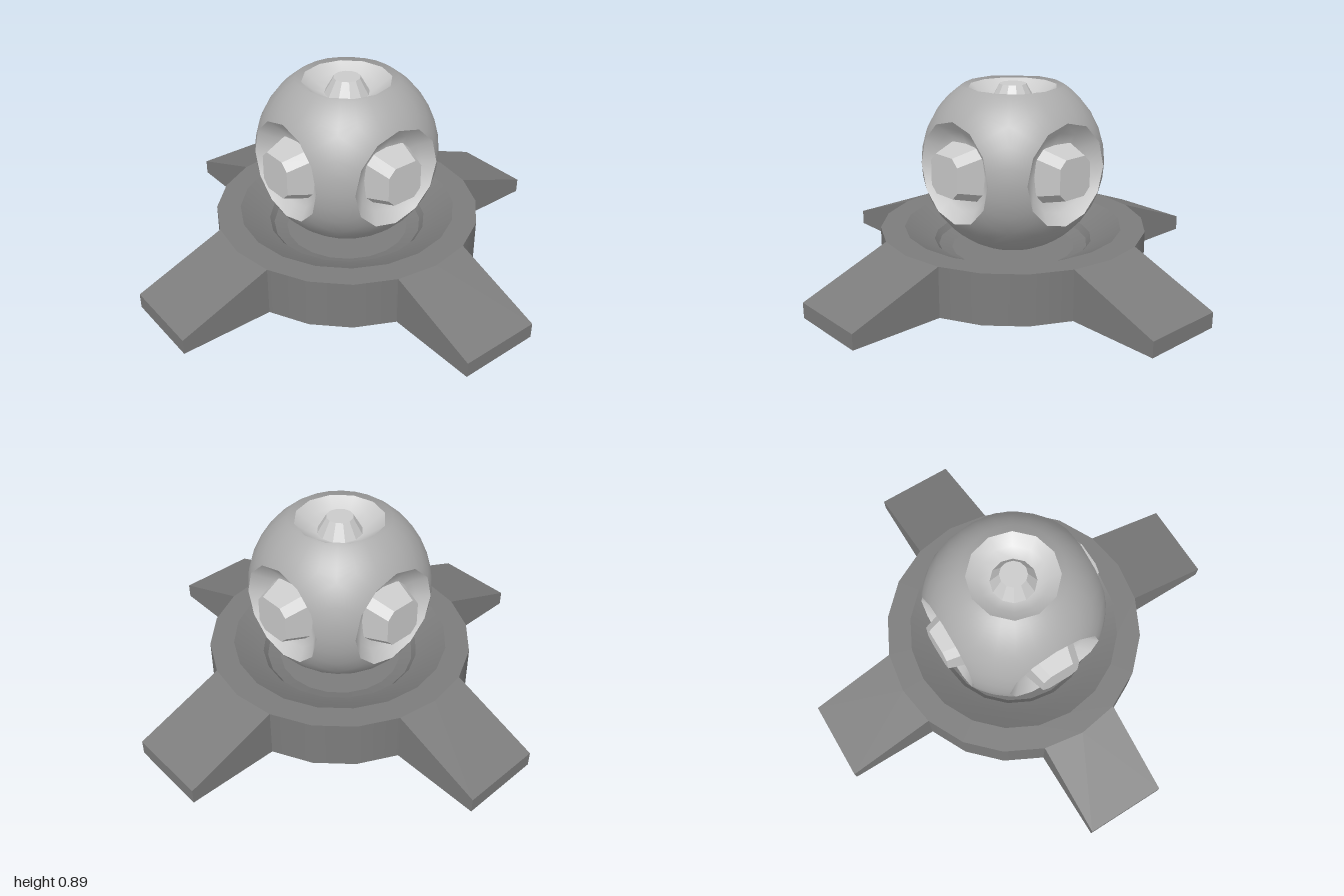
import * as THREE from 'three';

const paint = (color, flatShading = false) =>
  new THREE.MeshStandardMaterial({ color, flatShading, side: THREE.DoubleSide });
const standGrey = paint(0x7c7c7c);
const ballGrey = paint(0xacacac);
const craterGrey = paint(0xcccccc);
const studGrey = paint(0xcccccc, true);

function mesh(name, geometry, material) {
  const m = new THREE.Mesh(geometry, material);
  m.name = name;
  return m;
}

const lathe = (profile, segments, ...arc) =>
  new THREE.LatheGeometry(profile.map(([r, y]) => new THREE.Vector2(r, y)), segments, ...arc);

// One sixth of the ball, facing +y, from a rim circle out to a cube-face border
function ballPatch(R, rimRadius, rimHeight) {
  const around = 24, rows = 6, pos = [], nor = [], index = [];
  for (let i = 0; i <= rows; i++) {
    const t = i / rows;
    for (let j = 0; j <= around; j++) {
      const a = (j / around) * Math.PI * 2, s = Math.sin(a), c = Math.cos(a);
      const m = Math.max(Math.abs(s), Math.abs(c));
      // odd rim points sit on the straight sides of a twelve-sided rim
      const r = rimRadius * (j % 2 ? Math.cos(Math.PI / 12) : 1);
      const p = new THREE.Vector3(s * r, rimHeight, c * r);
      const edge = new THREE.Vector3(s / m, 1, c / m).setLength(R);
      if (i > 0) p.lerp(edge, t).setLength(R);
      const n = p.clone().normalize();
      pos.push(p.x, p.y, p.z);
      nor.push(n.x, n.y, n.z);
      if (i < rows && j < around) {
        const k = i * (around + 1) + j, l = k + around + 1;
        index.push(k, l, k + 1, k + 1, l, l + 1);
      }
    }
  }
  const g = new THREE.BufferGeometry();
  g.setAttribute('position', new THREE.Float32BufferAttribute(pos, 3));
  g.setAttribute('normal', new THREE.Float32BufferAttribute(nor, 3));
  g.setIndex(index);
  return g;
}

// Tapered square stud with chamfered corners, from height y0 to y1
function studGeometry(w0, y0, w1, y1) {
  const g = new THREE.CylinderGeometry(1, 1, 1, 8);
  g.rotateY(Math.PI / 8);
  const p = g.attributes.position;
  for (let i = 0; i < p.count; i++) {
    const top = p.getY(i) > 0, w = top ? w1 : w0, corner = top ? 0.62 : 0.7;
    const snap = v => Math.abs(v) < 0.01 ? 0 : Math.sign(v) * w * (Math.abs(v) > 0.6 ? 1 : corner);
    p.setXYZ(i, snap(p.getX(i)), top ? y1 : y0, snap(p.getZ(i)));
  }
  return g;
}

// Sloping arm, open underneath, pointing along +z
function armGeometry(R, height, tipHeight) {
  const w = R * Math.sin(Math.PI / 10), d = R * Math.cos(Math.PI / 10);
  const L = [-w, height, d], M = [0, height, R], N = [w, height, d];
  const TL = [-w, tipHeight, 1], TN = [w, tipHeight, 1];
  const BL = [-w, 0, d], BN = [w, 0, d], FL = [-w, 0, 1], FN = [w, 0, 1];
  const tris = [
    L, TL, M, M, TL, TN, M, TN, N,        // top
    TL, FL, FN, TL, FN, TN,               // tip
    L, BL, FL, L, FL, TL,                 // side
    N, FN, BN, N, TN, FN                  // other side
  ];
  const g = new THREE.BufferGeometry();
  g.setAttribute('position', new THREE.Float32BufferAttribute(tris.flat(), 3));
  g.computeVertexNormals();
  // shade the top as one even slope
  const slope = new THREE.Vector3(0, 1 - d, height - tipHeight).normalize();
  for (let i = 0; i < 9; i++) g.attributes.normal.setXYZ(i, slope.x, slope.y, slope.z);
  return g;
}

export function createModel() {
  const model = new THREE.Group();
  model.name = 'ballOnStand';
  const baseR = 0.61, baseH = 0.23, ballY = 0.535, ballR = 0.414;

  // Stand: stepped dish, four arms and the wall sections between them
  const stand = new THREE.Group();
  stand.name = 'stand';
  const rings = {
    rim: [[baseR, baseH], [0.5, baseH]],
    dish: [[0.5, baseH], [0.42, 0.187], [0.365, 0.165]],
    step: [[0.365, 0.165], [0.345, 0.14]],
    ledge: [[0.345, 0.14], [0.285, 0.12]],
    floor: [[0.285, 0.12], [0, 0.12]]
  };
  for (const [name, profile] of Object.entries(rings)) stand.add(mesh(name, lathe(profile, 20), standGrey));
  for (let i = 0; i < 4; i++) {
    const turn = i * Math.PI / 2;
    const arm = mesh('arm', armGeometry(baseR, baseH, 0.07), standGrey);
    arm.rotation.y = turn;
    const wall = lathe([[baseR, 0], [baseR, baseH]], 3, turn + Math.PI / 10, Math.PI * 0.3);
    stand.add(arm, mesh('wall', wall, standGrey));
  }
  model.add(stand);

  // Ball: four side craters with studs
  const ball = new THREE.Group();
  ball.name = 'ball';
  ball.position.y = ballY;
  for (let i = 0; i < 4; i++) {
    const side = new THREE.Group();
    side.name = 'ballSide';
    side.add(mesh('shell', ballPatch(ballR, 0.23, 0.345), ballGrey));
    side.add(mesh('crater', lathe([[0.23, 0.345], [0.18, 0.3], [0.12, 0.27], [0, 0.265]], 12), craterGrey));
    side.add(mesh('stud', studGeometry(0.125, 0.26, 0.09, 0.395), studGrey));
    side.rotation.set(Math.PI / 2, i * Math.PI / 2, 0, 'YXZ');
    ball.add(side);
  }

  // Top crater with a round knob, and the closed underside
  const top = new THREE.Group();
  top.name = 'ballTop';
  top.add(mesh('shell', ballPatch(ballR, 0.2, 0.342), ballGrey));
  top.add(mesh('crater', lathe([[0.2, 0.342], [0.15, 0.302], [0.1, 0.28], [0, 0.275]], 12), craterGrey));
  const knob = mesh('knob', new THREE.CylinderGeometry(0.06, 0.105, 0.08, 12), studGrey);
  knob.position.y = 0.313;
  top.add(knob);
  const bottom = mesh('underside', ballPatch(ballR, 0, ballR), ballGrey);
  bottom.rotation.x = Math.PI;
  ball.add(top, bottom);
  model.add(ball);

  return model;
}
